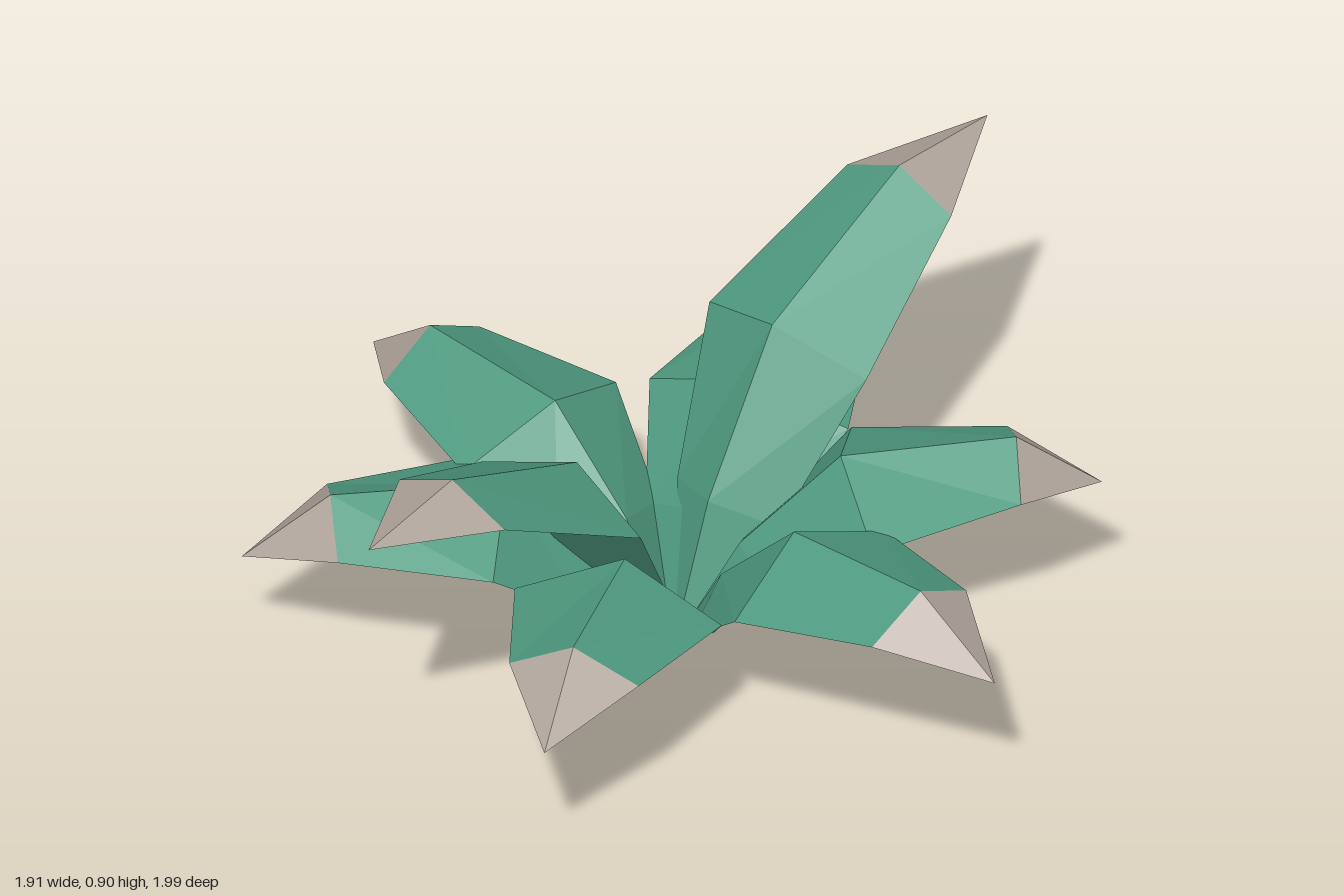
import * as THREE from 'three';

const green = new THREE.MeshStandardMaterial({ color: 0x4f9a80, flatShading: true });
green.name = 'leafGreen';
const grey = new THREE.MeshStandardMaterial({ color: 0xb0a49b, flatShading: true });
grey.name = 'dryTipGrey';

// Stations: r, y of the two edges; half width; r, y of the ridge.
const lowStations = (lift) => [
  [0, 0, 0, 0, 0],
  [0.21, 0.21, 0.16, 0.15, 0.27],
  [0.43, 0.40 + lift * 0.4, 0.245, 0.38, 0.5 + lift * 0.4],
  [0.775, 0.45 + lift, 0.153, 0.78, 0.53 + lift],
];
const highStations = [
  [0, 0, 0, 0, 0],
  [0.19, 0.29, 0.15, 0.12, 0.33],
  [0.4, 0.625, 0.233, 0.345, 0.7],
  [0.79, 0.83, 0.154, 0.79, 0.9],
];

// Tip position of each leaf, and its height offset (null = tall leaf)
const leaves = [
  { tip: [0.29, 0.33, -1.0], lift: -0.04 },
  { tip: [0.60, 0.87, -0.92], lift: null },
  { tip: [0.95, 0.38, -0.22], lift: -0.01 },
  { tip: [0.81, 0.40, 0.61], lift: 0.01 },
  { tip: [-0.17, 0.39, 0.99], lift: 0 },
  { tip: [-0.58, 0.87, 0.92], lift: null },
  { tip: [-0.96, 0.30, 0.20], lift: -0.07 },
  { tip: [-0.76, 0.35, -0.59], lift: -0.04 },
];

// Skin a run of triangular sections
function loft(rings) {
  const pos = [];
  const tri = (...pts) => pts.forEach((p) => pos.push(p.x, p.y, p.z));
  for (let k = 0; k < rings.length - 1; k++) {
    const a = rings[k], b = rings[k + 1];
    for (let i = 0; i < 3; i++) {
      const j = (i + 1) % 3;
      if (a[i] !== a[j]) tri(a[i], a[j], b[j]);
      if (b[i] !== b[j]) tri(a[i], b[j], b[i]);
    }
  }
  const geo = new THREE.BufferGeometry();
  geo.setAttribute('position', new THREE.Float32BufferAttribute(pos, 3));
  geo.computeVertexNormals();
  return geo;
}

function makeLeaf({ tip, lift }) {
  const angle = Math.atan2(tip[0], tip[2]);
  const sin = Math.sin(angle), cos = Math.cos(angle);
  const at = (r, y, side) => new THREE.Vector3(sin * r + cos * side, y, cos * r - sin * side);
  const collapse = (p) => [p, p, p];
  const stations = lift === null ? highStations : lowStations(lift);
  const rings = stations.map(([r, y, w, ridgeR, ridgeY], k) =>
    k === 0 ? collapse(at(0, 0, 0)) : [at(r, y, w), at(ridgeR, ridgeY, 0), at(r, y, -w)]);

  const leaf = new THREE.Group();
  leaf.name = lift === null ? 'tallLeaf' : 'lowLeaf';
  const blade = new THREE.Mesh(loft(rings), green);
  blade.name = 'leafBlade';
  const point = new THREE.Mesh(loft([rings[3], collapse(new THREE.Vector3(...tip))]), grey);
  point.name = 'leafTip';
  leaf.add(blade, point);
  return leaf;
}

export function createModel() {
  const plant = new THREE.Group();
  plant.name = 'plant';
  leaves.forEach((spec) => plant.add(makeLeaf(spec)));
  return plant;
}
